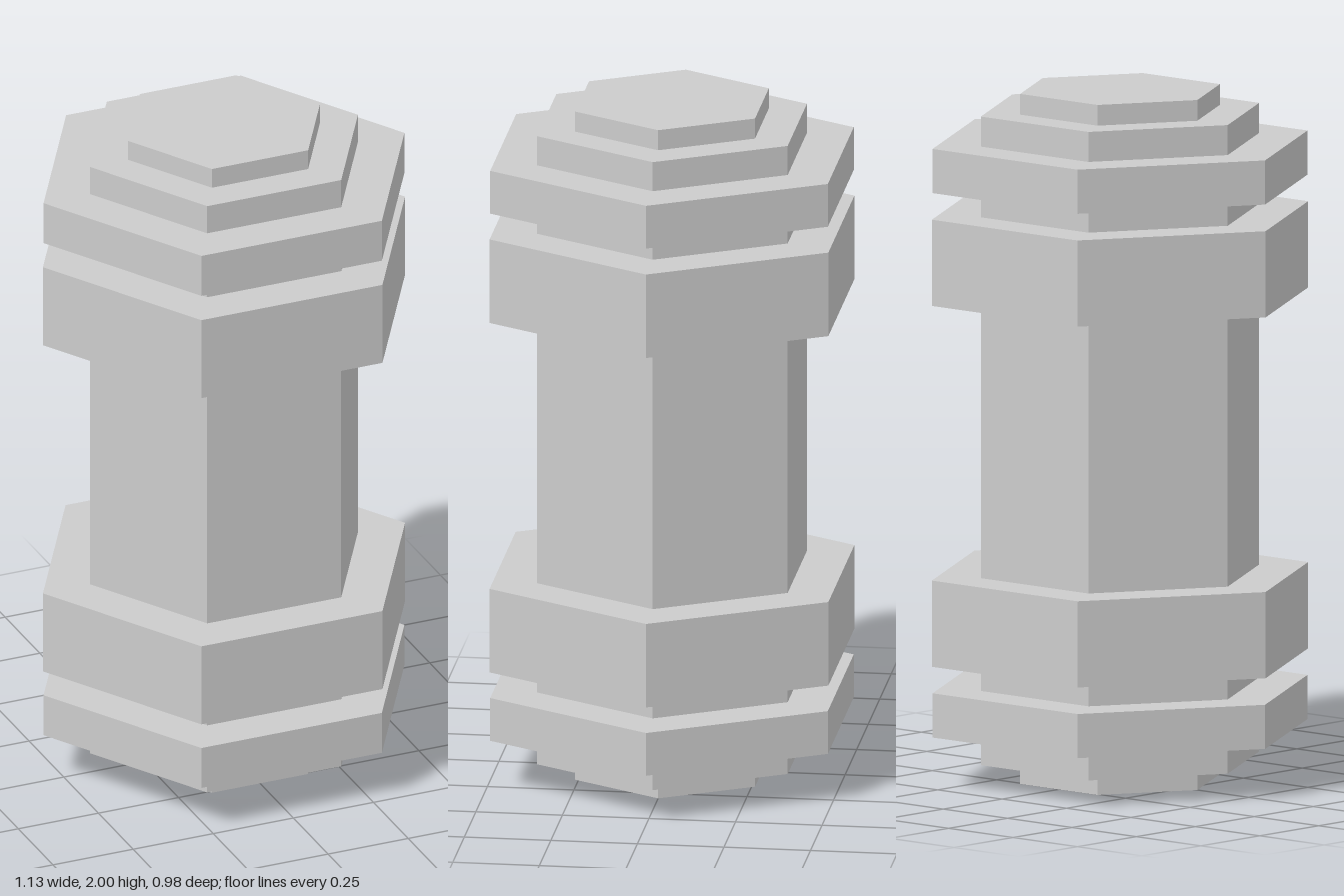
import * as THREE from 'three';

const material = new THREE.MeshStandardMaterial({ color: 0xcccccc, flatShading: true });

// Upright hexagonal prism with corners on the x axis, spanning y0 to y1
function hexPrism(name, radius, y0, y1) {
  const geometry = new THREE.CylinderGeometry(radius, radius, y1 - y0, 6, 1, false, Math.PI / 2);
  const mesh = new THREE.Mesh(geometry, material);
  mesh.name = name;
  mesh.position.y = (y0 + y1) / 2;
  return mesh;
}

export function createModel() {
  const model = new THREE.Group();
  model.name = 'hexDumbbell';

  // Central bar running through all the plates
  model.add(hexPrism('bar', 0.418, 0.06, 1.94));

  // Plates and end cap, mirrored about y = 1
  const parts = [
    ['EndCap', 0.3, 0, 0.06],
    ['OuterPlate', 0.563, 0.147, 0.275],
    ['InnerPlate', 0.565, 0.352, 0.602],
  ];
  for (const [name, radius, y0, y1] of parts) {
    model.add(hexPrism('lower' + name, radius, y0, y1));
    model.add(hexPrism('upper' + name, radius, 2 - y1, 2 - y0));
  }
  return model;
}
